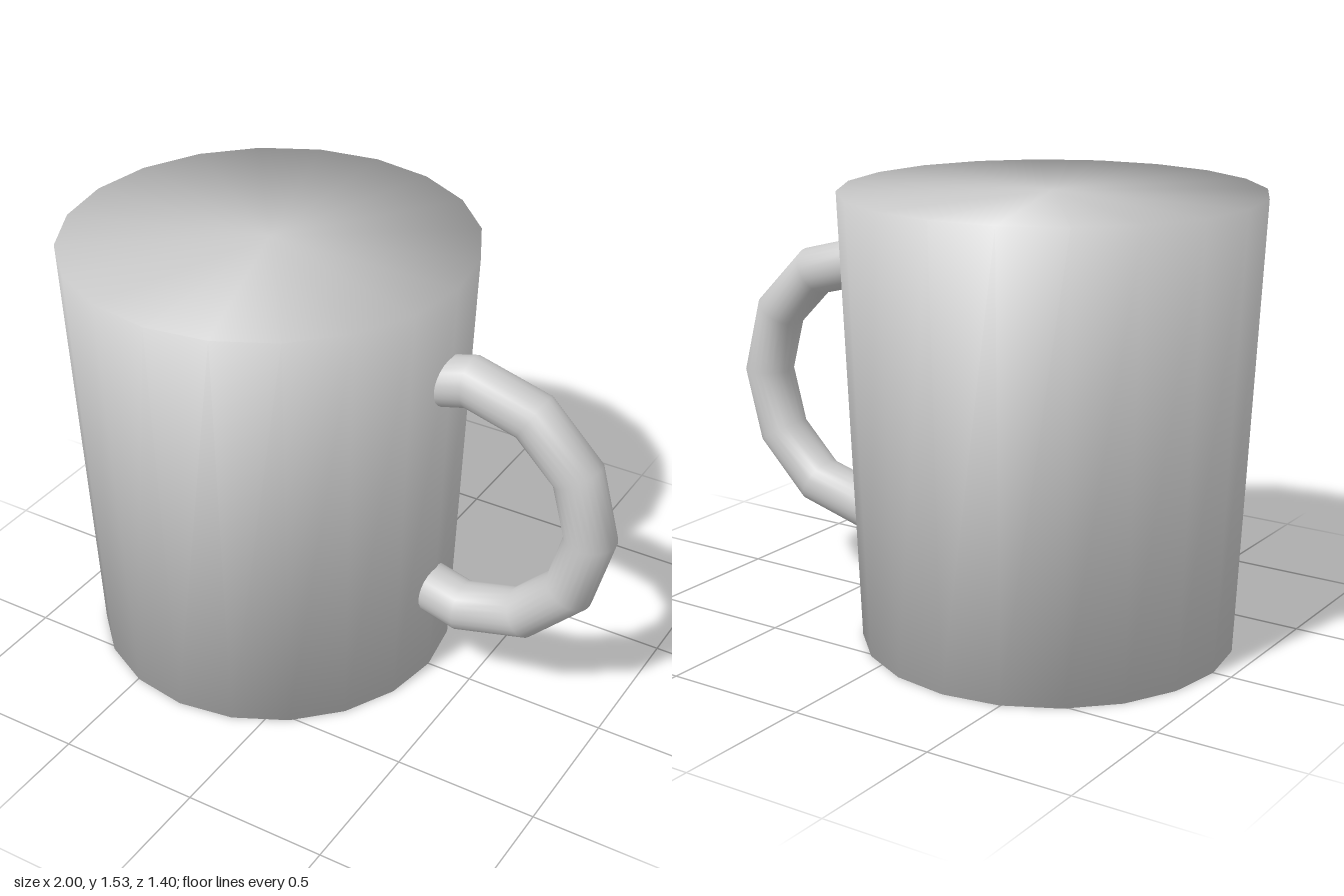
import * as THREE from 'three';
import { mergeVertices } from 'three/addons/utils/BufferGeometryUtils.js';

const HEIGHT = 1.53;

// Closed tapered body whose normals run smoothly from the wall over the rims into the caps
function bodyGeometry() {
  let geometry = new THREE.CylinderGeometry(0.7, 0.635, HEIGHT, 20, 1);
  geometry.deleteAttribute('normal');
  geometry.deleteAttribute('uv');
  geometry = mergeVertices(geometry, 1e-4);
  const position = geometry.attributes.position;
  const normals = new Float32Array(position.count * 3);
  for (let i = 0; i < position.count; i++) {
    const x = position.getX(i), z = position.getZ(i);
    const up = Math.sign(position.getY(i));
    const radius = Math.hypot(x, z);
    const normal = radius < 0.01
      ? [0, up, 0]
      : [0.866 * x / radius, 0.5 * up, 0.866 * z / radius];
    normals.set(normal, i * 3);
  }
  geometry.setAttribute('normal', new THREE.BufferAttribute(normals, 3));
  return geometry;
}

export function createModel() {
  const model = new THREE.Group();
  model.name = 'mug';
  const material = new THREE.MeshStandardMaterial({ color: 0xcccccc });

  // Body, offset to leave room for the handle
  const body = new THREE.Mesh(bodyGeometry(), material);
  body.name = 'body';
  body.position.set(-0.3, HEIGHT / 2, 0);
  model.add(body);

  // Ring handle of twelve straight segments, partly sunk into the body
  const handle = new THREE.Mesh(new THREE.TorusGeometry(0.45, 0.088, 24, 12), material);
  handle.name = 'handle';
  handle.position.set(0.462, HEIGHT / 2, 0);
  model.add(handle);

  return model;
}
